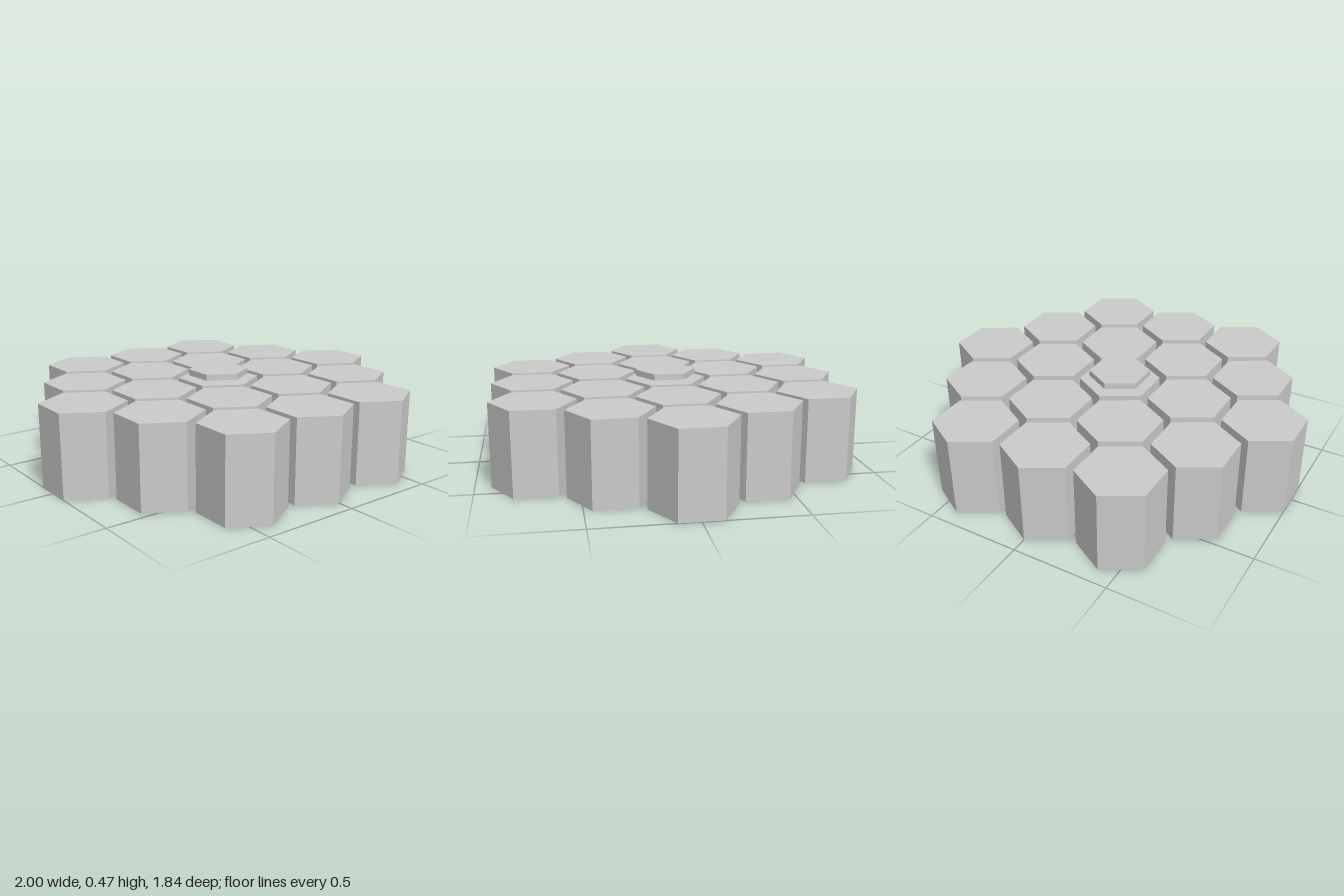
import * as THREE from 'three';

const SPACING = 0.4082; // distance between neighbouring column centres
const RADIUS = 0.2121;  // corner radius of a column
const HEIGHT = 0.425;
const RINGS = 2;        // rings of columns around the central one

export function createModel() {
  const model = new THREE.Group();
  model.name = 'hexColumnCluster';
  const material = new THREE.MeshStandardMaterial({ color: 0xcccccc, flatShading: true });

  // Hexagonal prism with corners pointing along z, standing on y = bottom
  function hexPrism(name, radius, height, x, bottom, z) {
    const mesh = new THREE.Mesh(new THREE.CylinderGeometry(radius, radius, height, 6), material);
    mesh.name = name;
    mesh.position.set(x, bottom + height / 2, z);
    return mesh;
  }

  // Columns on a hexagonal grid: rows of 3, 4, 5, 4, 3
  const columns = new THREE.Group();
  columns.name = 'columns';
  for (let row = -RINGS; row <= RINGS; row++) {
    const count = 2 * RINGS + 1 - Math.abs(row);
    for (let i = 0; i < count; i++) {
      const x = (i - (count - 1) / 2) * SPACING;
      const z = row * SPACING * Math.sqrt(3) / 2;
      columns.add(hexPrism('column', RADIUS, HEIGHT, x, 0, z));
    }
  }
  model.add(columns);

  // Thin plate hovering just above the central column
  model.add(hexPrism('centrePlate', 0.159, 0.032, 0, 0.44, 0));

  return model;
}
